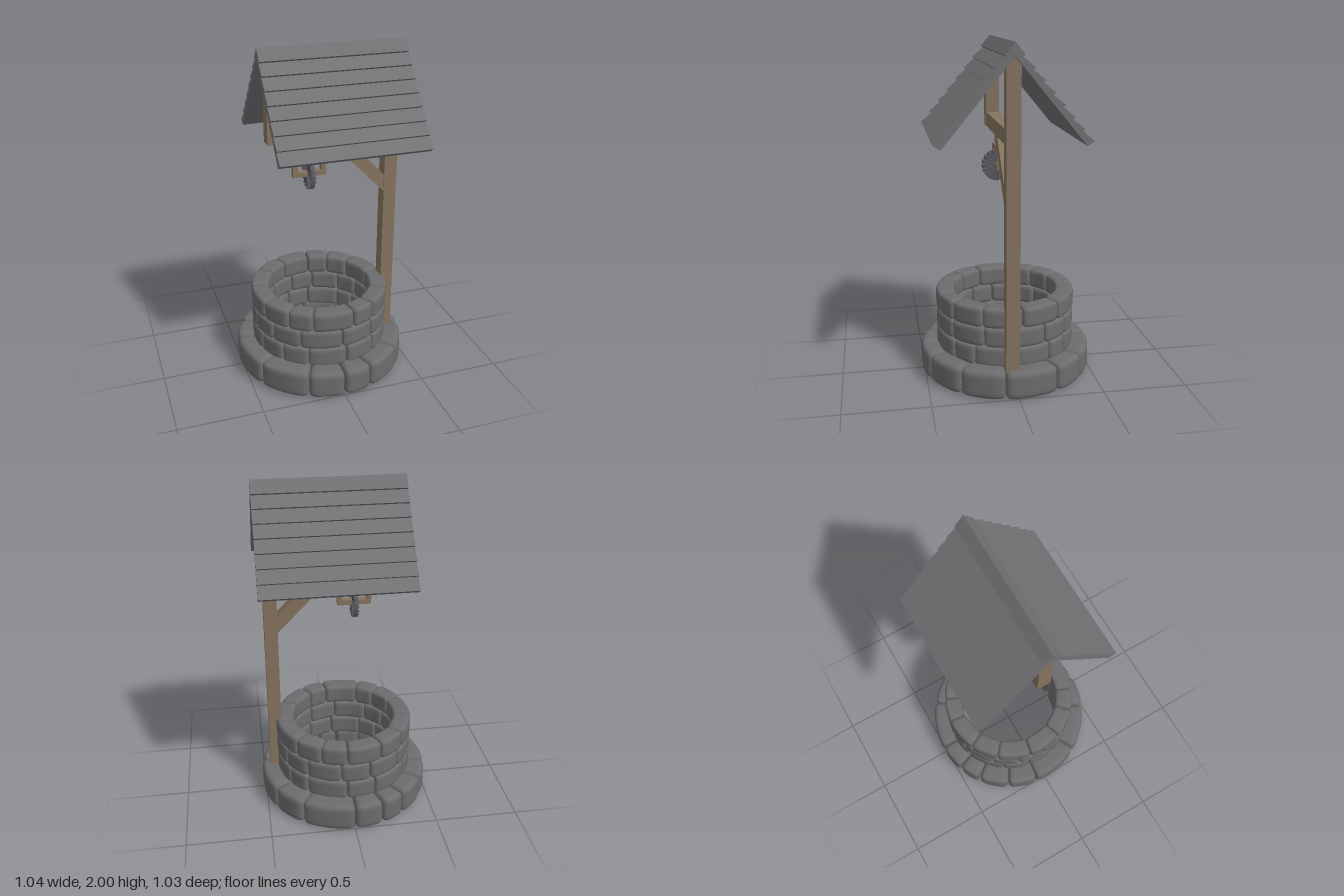
import * as THREE from 'three';
import { mergeVertices } from 'three/addons/utils/BufferGeometryUtils.js';

const mat = (name, color) => {
  const m = new THREE.MeshStandardMaterial({ color });
  m.name = name;
  return m;
};

export function createModel() {
  const stone = mat('stone grey', 0x6c6c6e);
  const slate = mat('roof grey', 0x727275);
  const wood = mat('weathered wood', 0x85735f);
  const iron = mat('dark iron', 0x5a5a61);
  const Z = 0.031; // depth of the timber frame and ridge

  const model = new THREE.Group();
  model.name = 'well';

  function add(parent, name, geometry, material) {
    const mesh = new THREE.Mesh(geometry, material);
    mesh.name = name;
    parent.add(mesh);
    return mesh;
  }
  function group(name) {
    const g = new THREE.Group();
    g.name = name;
    model.add(g);
    return g;
  }
  // Box given by its x and y limits, centred on the frame depth
  function beam(parent, name, x0, x1, y0, y1, depth, material = wood) {
    const g = new THREE.BoxGeometry(x1 - x0, y1 - y0, depth);
    g.translate((x0 + x1) / 2, (y0 + y1) / 2, Z);
    return add(parent, name, g, material);
  }

  // Rounded block bent around the well axis, between two angles in degrees
  function curvedStone(a0, a1, rIn, rOut, y0, y1, round) {
    const rMid = (rIn + rOut) / 2;
    const mid = THREE.MathUtils.degToRad((a0 + a1) / 2);
    const half = new THREE.Vector3(
      THREE.MathUtils.degToRad(a1 - a0) * rMid / 2 - 0.001,
      (y1 - y0) / 2,
      (rOut - rIn) / 2
    );
    const inner = half.clone().subScalar(round);
    const lower = inner.clone().negate();
    let g = new THREE.BoxGeometry(2, 2, 2, 8, 8, 8);
    g.deleteAttribute('uv');
    g.deleteAttribute('normal');
    g = mergeVertices(g, 1e-4);
    const pos = g.attributes.position;
    const p = new THREE.Vector3();
    const spread = t => Math.sign(t) * Math.abs(t) ** 0.6;
    for (let i = 0; i < pos.count; i++) {
      p.fromBufferAttribute(pos, i);
      p.set(spread(p.x), spread(p.y), spread(p.z)).multiply(half);
      const core = p.clone().clamp(lower, inner);
      p.sub(core).setLength(round).add(core);
      const a = mid - p.x / rMid;
      const r = rMid + p.z;
      pos.setXYZ(i, r * Math.cos(a), (y0 + y1) / 2 + p.y, r * Math.sin(a));
    }
    g.computeVertexNormals();
    return g;
  }

  // Stone courses: joint angles run around from +x towards +z
  const courses = [
    { name: 'baseCourse', y: [0, 0.17], r: [0.32, 0.518], round: 0.034,
      joints: [9, 40, 70, 90, 115, 151, 188, 210, 233, 250, 270, 307, 332] },
    { name: 'lowerCourse', y: [0.155, 0.28], r: [0.31, 0.418], round: 0.024,
      joints: [0, 35, 56, 84, 117, 140, 165, 190, 215, 250, 275, 310, 330] },
    { name: 'middleCourse', y: [0.277, 0.398], r: [0.31, 0.418], round: 0.024,
      joints: [5, 27, 58, 88, 124, 150, 175, 200, 225, 255, 280, 310, 335] },
    { name: 'topCourse', y: [0.395, 0.517], r: [0.31, 0.42], round: 0.024,
      joints: [-5, 28, 57, 78, 113, 134, 160, 190, 220, 245, 275, 297, 321] },
  ];
  for (const c of courses) {
    const g = group(c.name);
    c.joints.forEach((a, i) => {
      const next = c.joints[i + 1] ?? c.joints[0] + 360;
      add(g, 'stone', curvedStone(a, next, ...c.r, ...c.y, c.round), stone);
    });
  }

  // Timber frame
  const frame = group('timberFrame');
  beam(frame, 'mainPost', 0.388, 0.466, 0.1, 1.92, 0.08);
  beam(frame, 'hangingPost', -0.322, -0.244, 1.46, 1.92, 0.08);
  beam(frame, 'crossBeam', -0.244, 0.388, 1.46, 1.545, 0.078);
  const braceShape = new THREE.Shape([
    [0.39, 1.09], [0.39, 1.197], [0.1, 1.497], [-0.005, 1.497],
  ].map(([x, y]) => new THREE.Vector2(x, y)));
  const brace = new THREE.ExtrudeGeometry(braceShape, { depth: 0.07, bevelEnabled: false });
  brace.translate(0, 0, Z - 0.035);
  add(frame, 'diagonalBrace', brace, wood);

  // Shingled roof: a stepped gable profile extruded along x
  const length = 0.675, rows = 8;
  const at = (t, h) => new THREE.Vector2(0.637 * t + 0.771 * h, 2 - 0.771 * t + 0.637 * h);
  const side = [];
  for (let i = 0; i < rows; i++) {
    if (i > 0) side.push(at(i * length / rows, -0.016));
    side.push(at((i + 1) * length / rows, 0));
  }
  side.push(at(0.669, -0.046));
  const mirrored = side.map(v => new THREE.Vector2(-v.x, v.y)).reverse();
  const profile = [new THREE.Vector2(0, 2), ...side, new THREE.Vector2(0, 1.928), ...mirrored];
  const roof = new THREE.ExtrudeGeometry(new THREE.Shape(profile), { depth: 0.865, bevelEnabled: false });
  roof.rotateY(Math.PI / 2);
  roof.translate(-0.36, 0, Z);
  add(model, 'shingledRoof', roof, slate);

  // Pulley: hanger, open frame and ribbed wheel
  const pulley = group('pulley');
  beam(pulley, 'hanger', -0.085, -0.055, 1.36, 1.47, 0.03);
  beam(pulley, 'frameTop', -0.17, 0.03, 1.343, 1.372, 0.035);
  beam(pulley, 'axleBar', -0.17, 0.03, 1.238, 1.267, 0.035);
  beam(pulley, 'frameRight', -0.17, -0.141, 1.267, 1.343, 0.035);
  beam(pulley, 'frameLeft', 0.001, 0.03, 1.267, 1.343, 0.035);

  const wheel = new THREE.Group();
  wheel.name = 'pulleyWheel';
  wheel.position.set(-0.07, 1.252, Z);
  pulley.add(wheel);
  const core = new THREE.CylinderGeometry(0.088, 0.088, 0.022, 32);
  core.rotateZ(Math.PI / 2);
  add(wheel, 'wheelCore', core, iron);
  const ribs = 20;
  for (let i = 0; i < ribs; i++) {
    const rib = new THREE.CylinderGeometry(0.018, 0.012, 0.085, 4).toNonIndexed();
    rib.scale(1, 1, 0.75);
    rib.computeVertexNormals();
    rib.translate(0, 0.051, 0);
    rib.rotateX(i / ribs * Math.PI * 2);
    add(wheel, 'wheelRib', rib, iron);
  }

  return model;
}
